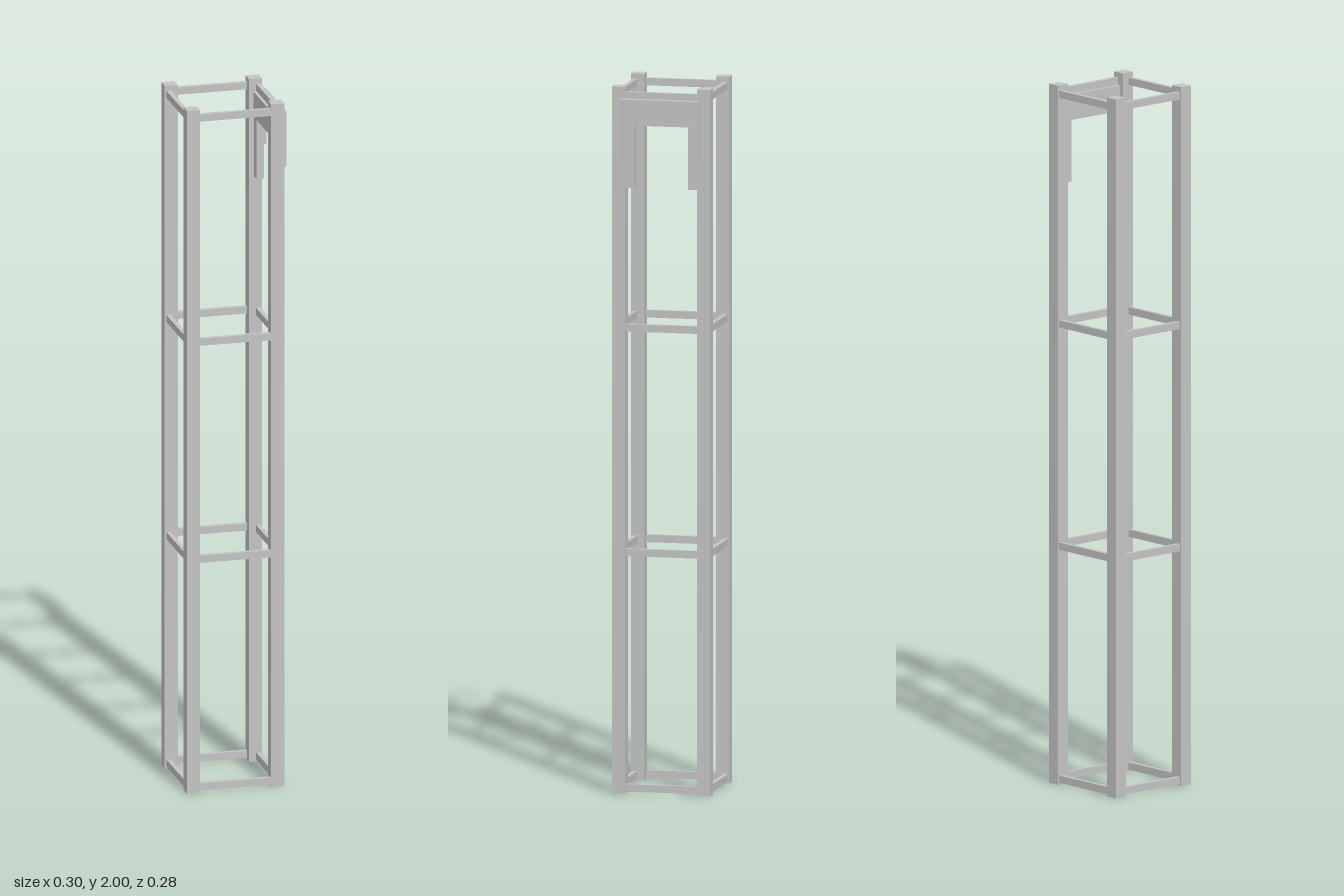
import * as THREE from 'three';

const steel = new THREE.MeshStandardMaterial({ color: 0xc4c4c4 });
steel.name = 'light grey steel';

// Box given by its minimum and maximum corners
function bar(parent, name, [x0, y0, z0], [x1, y1, z1]) {
  const mesh = new THREE.Mesh(new THREE.BoxGeometry(x1 - x0, y1 - y0, z1 - z0), steel);
  mesh.position.set((x0 + x1) / 2, (y0 + y1) / 2, (z0 + z1) / 2);
  mesh.name = name;
  parent.add(mesh);
  return mesh;
}

export function createModel() {
  const model = new THREE.Group();
  model.name = 'towerFrame';

  // Square frame, set slightly off centre to leave room for the bracket
  const frame = new THREE.Group();
  frame.name = 'frame';
  frame.position.x = -0.0072;
  model.add(frame);
  const outer = 0.1408, inner = 0.103;
  const railOut = 0.136, railIn = 0.1235;

  // Corner posts
  for (const sx of [-1, 1]) for (const sz of [-1, 1]) {
    const post = bar(frame, 'cornerPost', [inner, 0, inner], [outer, 2, outer]);
    post.position.x *= sx;
    post.position.z *= sz;
  }

  // Four levels of cross rails
  for (const y of [0.0155, 0.682, 1.318, 1.975]) {
    for (const s of [-1, 1]) {
      const across = bar(frame, 'crossRail', [-inner, y - 0.0105, railIn], [inner, y + 0.0105, railOut]);
      across.position.z *= s;
      const side = bar(frame, 'sideRail', [railIn, y - 0.0105, -inner], [railOut, y + 0.0105, inner]);
      side.position.x *= s;
    }
  }

  // Bracket between the two left posts
  const bracket = new THREE.Group();
  bracket.name = 'bracket';
  model.add(bracket);
  bar(bracket, 'bracketPlate', [0.108, 1.891, -inner], [0.13, 1.964, inner]);
  for (const s of [-1, 1]) {
    const leg = bar(bracket, 'bracketLeg', [0.11, 1.715, 0.077], [0.132, 1.891, inner]);
    leg.position.z *= s;

    // Small bolts on each leg
    for (const y of [1.79, 1.76]) {
      const bolt = new THREE.Mesh(new THREE.CylinderGeometry(0.003, 0.003, 0.006, 8), steel);
      bolt.rotation.z = Math.PI / 2;
      bolt.position.set(0.132, y, s * 0.09);
      bolt.name = 'bolt';
      bracket.add(bolt);
    }
  }

  // Projecting thin hood around the bracket
  bar(bracket, 'hoodTop', [0.128, 1.963, -0.1125], [0.148, 1.967, 0.1125]);
  for (const s of [-1, 1]) {
    const cheek = bar(bracket, 'hoodSide', [0.128, 1.805, 0.1085], [0.148, 1.963, 0.1125]);
    cheek.position.z *= s;
  }
  return model;
}
